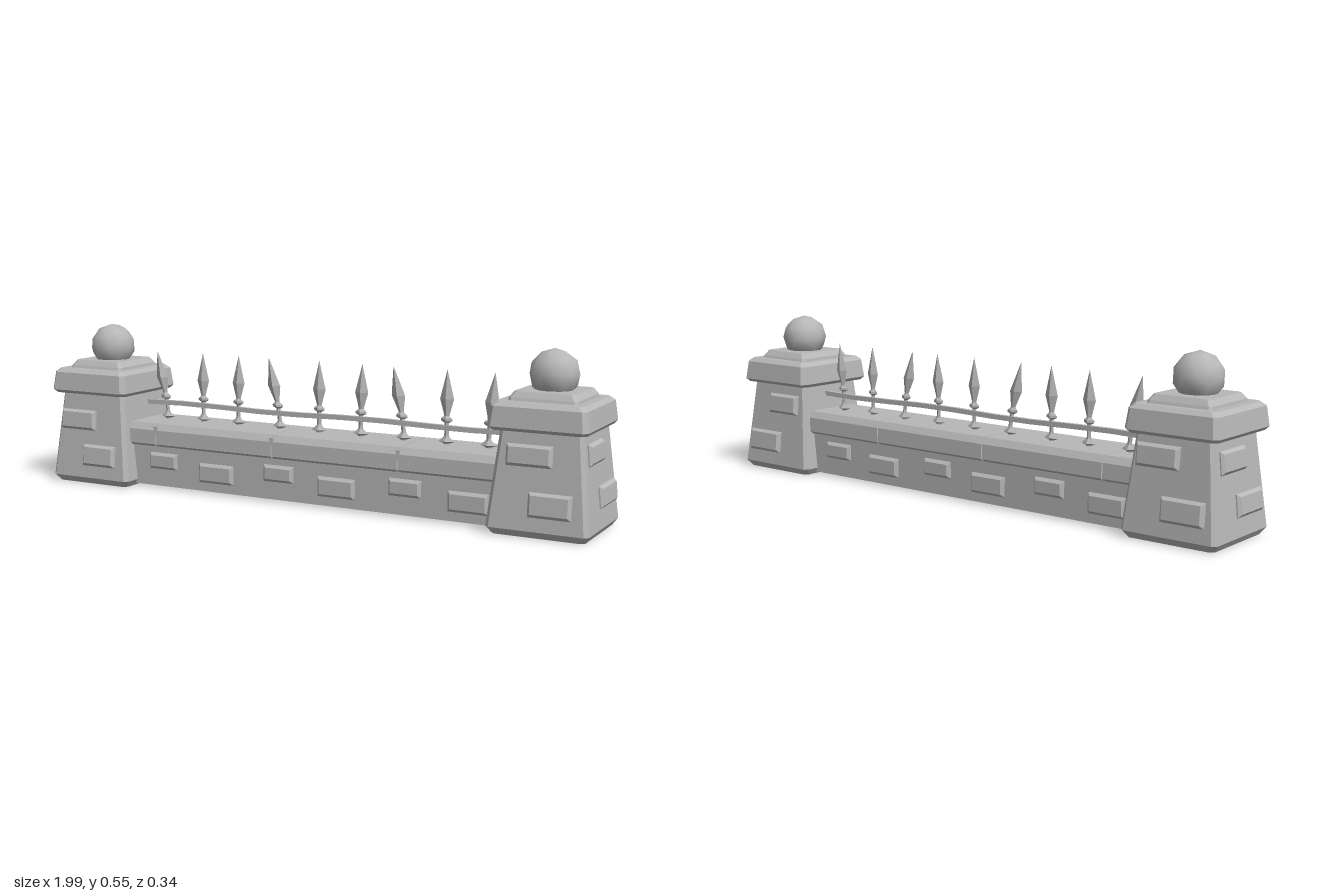
import * as THREE from 'three';

const stone = new THREE.MeshStandardMaterial({ color: 0xb8b8b8, side: THREE.DoubleSide });
stone.name = 'grey stone';

function mesh(name, geometry, parent, x = 0, y = 0, z = 0) {
  const m = new THREE.Mesh(geometry, stone);
  m.name = name;
  m.position.set(x, y, z);
  parent.add(m);
  return m;
}

function facet(geometry) {
  const g = geometry.index ? geometry.toNonIndexed() : geometry;
  g.computeVertexNormals();
  return g;
}

// Faceted block from stacked rectangles [y, halfX, halfZ] with cut corners
function block(sections, cut, capped = true) {
  const rings = sections.map(([y, a, b]) => [
    [a, b - cut], [a - cut, b], [cut - a, b], [-a, b - cut],
    [-a, cut - b], [cut - a, -b], [a - cut, -b], [a, cut - b],
  ].map(([x, z]) => [x, y, z]));
  const out = [];
  const tri = (...points) => points.forEach((p) => out.push(...p));
  for (let r = 0; r + 1 < rings.length; r++) {
    for (let i = 0; i < 8; i++) {
      const j = (i + 1) % 8, lo = rings[r], hi = rings[r + 1];
      tri(lo[i], hi[i], hi[j]);
      tri(lo[i], hi[j], lo[j]);
    }
  }
  if (capped) {
    const lo = rings[0], hi = rings[rings.length - 1];
    for (let i = 1; i < 7; i++) {
      tri(lo[0], lo[i], lo[i + 1]);
      tri(hi[0], hi[i + 1], hi[i]);
    }
  }
  const g = new THREE.BufferGeometry();
  g.setAttribute('position', new THREE.Float32BufferAttribute(out, 3));
  return facet(g);
}

// Raised brick facing +z with bevelled edges
function brick(w, h, out) {
  const a = w / 2, b = h / 2;
  return block([[-0.012, a, b], [out * 0.35, a, b], [out, a - 0.009, b - 0.009]], 0.002)
    .rotateX(Math.PI / 2);
}

// Tapering gate pillar; bricks are [face angle, sideways offset, height, width, tall]
function pillar(name, x, capX, bricks) {
  const g = new THREE.Group();
  g.name = name;
  g.position.x = x;
  mesh('pillarBody', block([[0, 0.147, 0.145], [0.022, 0.162, 0.16], [0.32, 0.131, 0.129]], 0.013), g);
  mesh('pillarCap', block([[0.317, 0.148, 0.15], [0.328, 0.157, 0.161],
    [0.39, 0.15, 0.153], [0.403, 0.137, 0.138]], 0.014), g, capX, 0, -0.006);
  mesh('capStep', block([[0.4, 0.11, 0.113], [0.412, 0.108, 0.108], [0.43, 0.095, 0.096]], 0.01), g, capX, 0, -0.008);
  const ball = mesh('stoneBall', new THREE.IcosahedronGeometry(0.078, 1), g, capX, 0.477, -0.006);
  ball.rotation.set(0.3, x * 2, 0.2);
  for (const [angle, u, y, w, h] of bricks) {
    const side = new THREE.Group();
    side.name = 'pillarFace';
    side.rotation.y = angle;
    g.add(side);
    const b = mesh('pillarBrick', brick(w, h, 0.015), side, u, y, 0.161 - (y - 0.022) * 0.104);
    b.rotation.x = -0.104;
  }
  return g;
}

// Flat four-sided spear finial whose upper part may lean sideways
function spike(lean) {
  const profile = [[0.008, 0.21], [0.011, 0.23], [0.028, 0.236], [0.011, 0.25], [0.008, 0.256],
    [0.008, 0.296], [0.02, 0.302], [0.02, 0.309], [0.009, 0.318], [0.012, 0.33],
    [0.024, 0.372], [0.0, 0.467]].map((p) => new THREE.Vector2(...p));
  const g = new THREE.LatheGeometry(profile, 4);
  g.scale(1, 1, 0.55);
  const p = g.attributes.position;
  for (let i = 0; i < p.count; i++) {
    p.setX(i, p.getX(i) + lean * Math.max(0, p.getY(i) - 0.27) / 0.195);
  }
  return facet(g);
}

export function createModel() {
  const model = new THREE.Group();
  model.name = 'fenceWall';
  const R = Math.PI / 2;

  // Pillars, with bare faces toward the wall
  model.add(pillar('rightPillar', -0.827, -0.006, [
    [0, -0.05, 0.225, 0.145, 0.07], [0, 0.042, 0.103, 0.135, 0.075],
    [2 * R, -0.045, 0.255, 0.145, 0.07], [2 * R, 0.05, 0.105, 0.145, 0.075],
    [-R, -0.035, 0.25, 0.14, 0.07], [-R, 0.045, 0.115, 0.145, 0.07],
  ]));
  model.add(pillar('leftPillar', 0.825, -0.008, [
    [0, -0.03, 0.247, 0.145, 0.066], [0, 0.042, 0.103, 0.135, 0.075],
    [2 * R, 0.035, 0.245, 0.14, 0.07], [2 * R, -0.05, 0.105, 0.15, 0.075],
    [R, -0.038, 0.256, 0.135, 0.067], [R, 0.045, 0.118, 0.15, 0.069],
  ]));

  // Low wall, open underneath, with staggered raised bricks on both faces
  const wall = new THREE.Group();
  wall.name = 'lowWall';
  model.add(wall);
  mesh('wallBody', block([[0.008, 0.7, 0.098], [0.155, 0.7, 0.098]], 0.002, false), wall, 0, 0, -0.005);
  [-0.55, -0.335, -0.09, 0.125, 0.37, 0.585].forEach((x, i) => {
    const low = i % 2;
    for (const s of [1, -1]) {
      const b = mesh('wallBrick', brick(low ? 0.135 : 0.112, low ? 0.066 : 0.056, 0.013), wall,
        s * x, low ? 0.072 : 0.097, -0.005 + s * 0.098);
      if (s < 0) b.rotation.y = Math.PI;
    }
  });

  // Coping stones separated by hairline joints over a slightly smaller core
  const half = [[0.105, 0.148], [0.115, 0.156], [0.113, 0.205], [0.099, 0.227]];
  const outline = new THREE.Shape([...half, ...half.map(([z, y]) => [-z, y]).reverse()]
    .map((p) => new THREE.Vector2(...p)));
  const joints = [-0.7, -0.575, -0.11, 0.35, 0.7];
  for (let i = 0; i < 4; i++) {
    const length = joints[i + 1] - joints[i] - 0.004;
    const g = new THREE.ExtrudeGeometry(outline, { depth: length, bevelEnabled: false });
    g.rotateY(R);
    mesh('copingStone', g, wall, joints[i] + 0.002, 0, -0.005);
  }
  mesh('copingCore', new THREE.BoxGeometry(1.38, 0.066, 0.19), wall, 0, 0.187, -0.005);

  // Small chips along the coping edges
  const chip = new THREE.Shape([[-0.009, 0], [0.009, 0], [0.003, -0.018], [0.004, -0.035]]
    .map((p) => new THREE.Vector2(...p)));
  const chipGeometry = new THREE.ExtrudeGeometry(chip, { depth: 0.003, bevelEnabled: false });
  for (const x of [-0.575, -0.11, 0.35]) {
    mesh('copingChip', chipGeometry, wall, x, 0.218, 0.106);
  }

  // Iron railing: a slightly uneven bar and nine finials
  const railing = new THREE.Group();
  railing.name = 'railing';
  railing.position.z = -0.022;
  model.add(railing);
  const bar = new THREE.BoxGeometry(1.4, 0.016, 0.014, 9, 1, 1);
  const p = bar.attributes.position;
  for (let i = 0; i < p.count; i++) {
    p.setY(i, p.getY(i) + 0.003 * Math.sin(p.getX(i) * 9));
  }
  mesh('rail', facet(bar), railing, 0, 0.282, 0);
  const spikes = [[-0.61, -0.042], [-0.46, 0], [-0.317, 0.003], [-0.152, -0.042], [0, 0],
    [0.155, 0.005], [0.31, -0.038], [0.46, 0], [0.603, 0.018]];
  for (const [x, lean] of spikes) mesh('spike', spike(lean), railing, x);

  return model;
}
